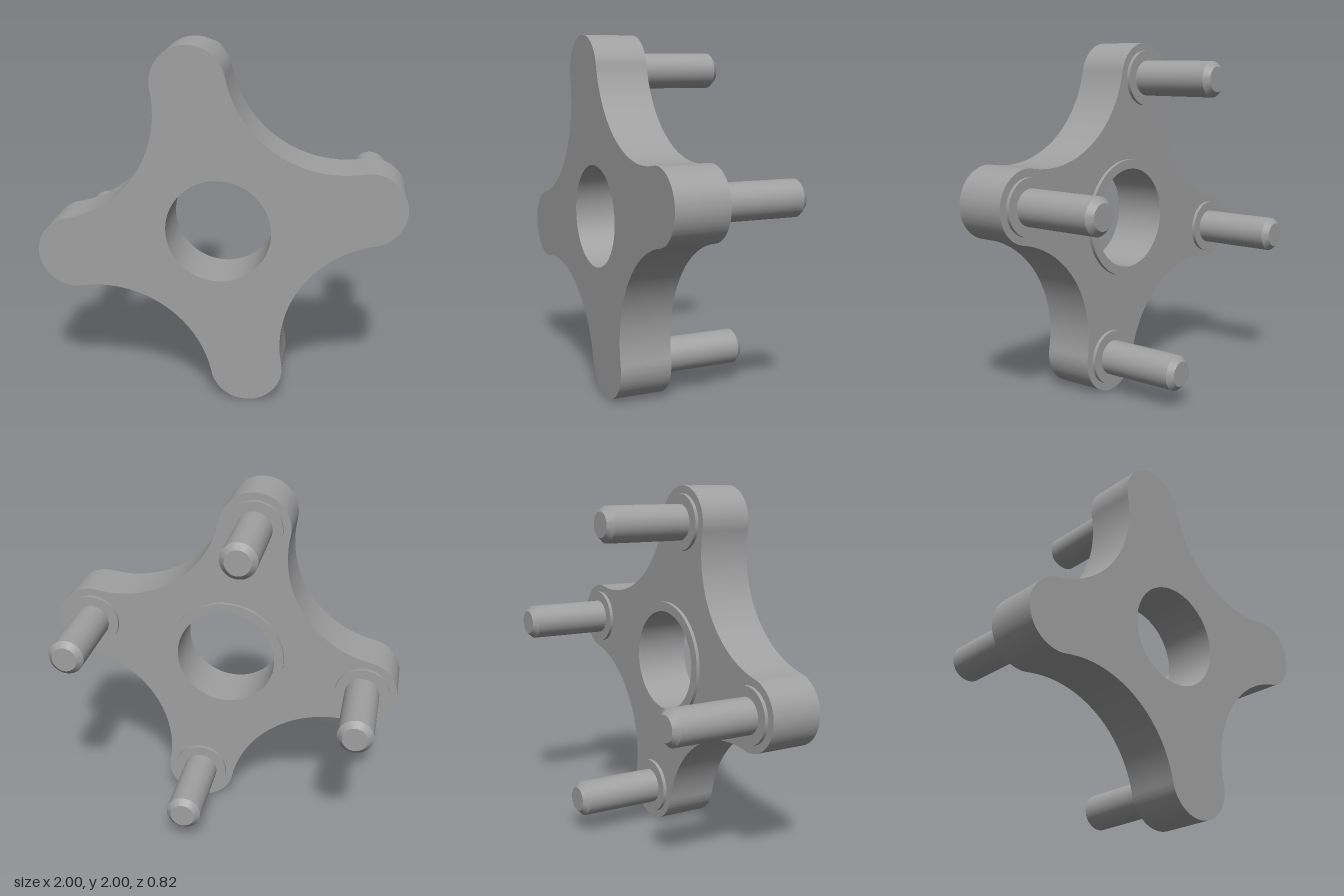
import * as THREE from 'three';
import { toCreasedNormals } from 'three/addons/utils/BufferGeometryUtils.js';

const TILT = Math.atan2(0.157, 0.8); // rotation of the four arms
const ARM = 0.815;                   // centre to pin axis
const LOBE = 0.2;                    // rounded arm end
const BORE = 0.286;
const BACK = 0.106, FRONT = 0.408, STEP = 0.02;

// Sharp edges, smooth curves
const crease = (g) => toCreasedNormals(g, 0.5);

function extrude(shape, z, depth) {
  const g = new THREE.ExtrudeGeometry(shape, { depth, bevelEnabled: false, curveSegments: 40 });
  return crease(g.translate(0, 0, z));
}

function addBore(shape) {
  shape.holes.push(new THREE.Path().absarc(0, 0, BORE, 0, Math.PI * 2, true));
  return shape;
}

// Four round lobes joined by tangent concave arcs
function starShape() {
  const waist = 0.54; // nearest distance of a concave arc to the centre
  const c = Math.SQRT1_2;
  const R = (waist ** 2 + ARM ** 2 - 2 * waist * ARM * c - LOBE ** 2) / (2 * (LOBE - waist + ARM * c));
  const d = waist + R;
  const polar = (r, a) => new THREE.Vector2(r * Math.cos(a), r * Math.sin(a));
  const shape = new THREE.Shape();
  for (let i = 0; i < 4; i++) {
    const a = TILT + i * Math.PI / 2;
    const lobe = polar(ARM, a), next = polar(ARM, a + Math.PI / 2);
    const hollow = polar(d, a + Math.PI / 4);
    const toHollow = hollow.clone().sub(lobe).angle();
    shape.absarc(lobe.x, lobe.y, LOBE, 2 * a - toHollow, toHollow, false);
    shape.absarc(hollow.x, hollow.y, R, toHollow + Math.PI, next.sub(hollow).angle(), true);
  }
  return addBore(shape);
}

export function createModel() {
  const model = new THREE.Group();
  model.name = 'fourArmPinPlate';
  const metal = new THREE.MeshStandardMaterial({ color: 0xa0a0a0 });
  metal.name = 'grey metal';
  const hub = new THREE.Group();
  hub.name = 'plateAssembly';
  hub.position.y = 1;
  model.add(hub);

  const add = (name, geometry) => {
    const mesh = new THREE.Mesh(geometry, metal);
    mesh.name = name;
    hub.add(mesh);
    return mesh;
  };

  add('plate', extrude(starShape(), BACK, FRONT - BACK));

  // Raised ring around the bore on the back
  const ring = new THREE.Shape().absarc(0, 0, 0.34, 0, Math.PI * 2, false);
  add('boreRim', extrude(addBore(ring), BACK - STEP, STEP));

  // Shouldered pin with a chamfered tip, pointing backwards
  const profile = [[0.157, 0], [0.157, STEP], [0.1, STEP], [0.1, 0.482], [0.07, 0.514], [0, 0.514]]
    .map(([r, h]) => new THREE.Vector2(r, h));
  const pin = crease(new THREE.LatheGeometry(profile, 48).rotateX(-Math.PI / 2));
  for (let i = 0; i < 4; i++) {
    const a = TILT + i * Math.PI / 2;
    add('pin' + (i + 1), pin).position.set(ARM * Math.cos(a), ARM * Math.sin(a), BACK);
  }
  return model;
}
